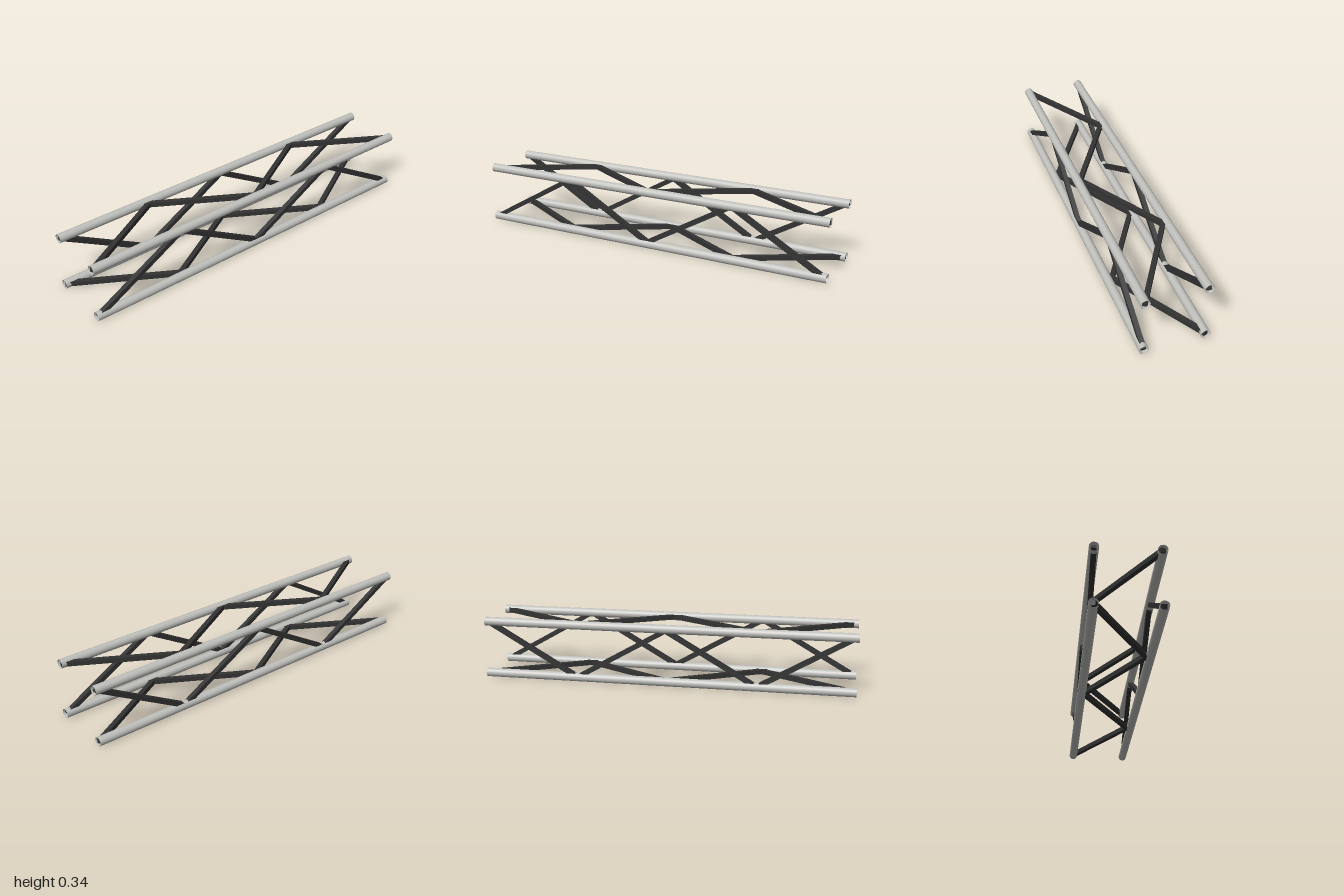
import * as THREE from 'three';

const TUBE_X = 0.157, TUBE_R = 0.0237, LOW = 0.0245, HIGH = 0.3135, MID = 0.169;
const BAR = 0.025;

export function createModel() {
  const group = new THREE.Group();
  group.name = 'boxTruss';

  const tubeMetal = new THREE.MeshStandardMaterial({ color: 0xbfbfbc, side: THREE.DoubleSide });
  tubeMetal.name = 'light grey metal';
  const braceMetal = new THREE.MeshStandardMaterial({ color: 0x333333 });
  braceMetal.name = 'dark grey metal';

  // Four open main tubes running front to back
  const tubeGeometry = new THREE.CylinderGeometry(TUBE_R, TUBE_R, 2, 32, 1, true).rotateX(Math.PI / 2);
  for (const x of [-TUBE_X, TUBE_X]) {
    for (const y of [LOW, HIGH]) {
      const tube = new THREE.Mesh(tubeGeometry, tubeMetal);
      tube.name = 'mainTube';
      tube.position.set(x, y, 0);
      group.add(tube);
    }
  }

  // One square bar between two points
  function addBrace(name, a, b) {
    const dir = b.clone().sub(a);
    const brace = new THREE.Mesh(new THREE.BoxGeometry(BAR, BAR, dir.length()), braceMetal);
    brace.name = name;
    brace.position.copy(a).add(b).multiplyScalar(0.5);
    // Keep the bar's sides square to the face it lies in
    if (Math.abs(dir.x) > Math.abs(dir.y)) brace.rotation.y = Math.atan2(dir.x, dir.z);
    else brace.rotation.x = -Math.atan2(dir.y, dir.z);
    group.add(brace);
  }

  // Zigzag of four braces along each side; neighbouring sides alternate in phase
  const spanX = 0.16, spanY = 0.148;
  const sideCentres = [0.735, 0.235, -0.235, -0.735];
  const flatCentres = [0.716, 0.251, -0.251, -0.716];
  const slope = Math.sqrt(3);
  for (let i = 0; i < 4; i++) {
    const s = i % 2 ? -1 : 1;
    for (const side of [1, -1]) {
      // Upright sides: the +x side starts low at the front, the -x side high
      const z = sideCentres[i], dz = spanY * slope, dy = -s * side * spanY;
      addBrace(side > 0 ? 'leftBrace' : 'rightBrace',
        new THREE.Vector3(side * TUBE_X, MID - dy, z - dz),
        new THREE.Vector3(side * TUBE_X, MID + dy, z + dz));

      // Top starts at +x at the front, bottom at -x
      const fz = flatCentres[i], fdz = spanX * slope, dx = s * side * spanX;
      const y = side > 0 ? 0.3125 : 0.0258;
      addBrace(side > 0 ? 'topBrace' : 'bottomBrace',
        new THREE.Vector3(-dx, y, fz - fdz),
        new THREE.Vector3(dx, y, fz + fdz));
    }
  }
  return group;
}
